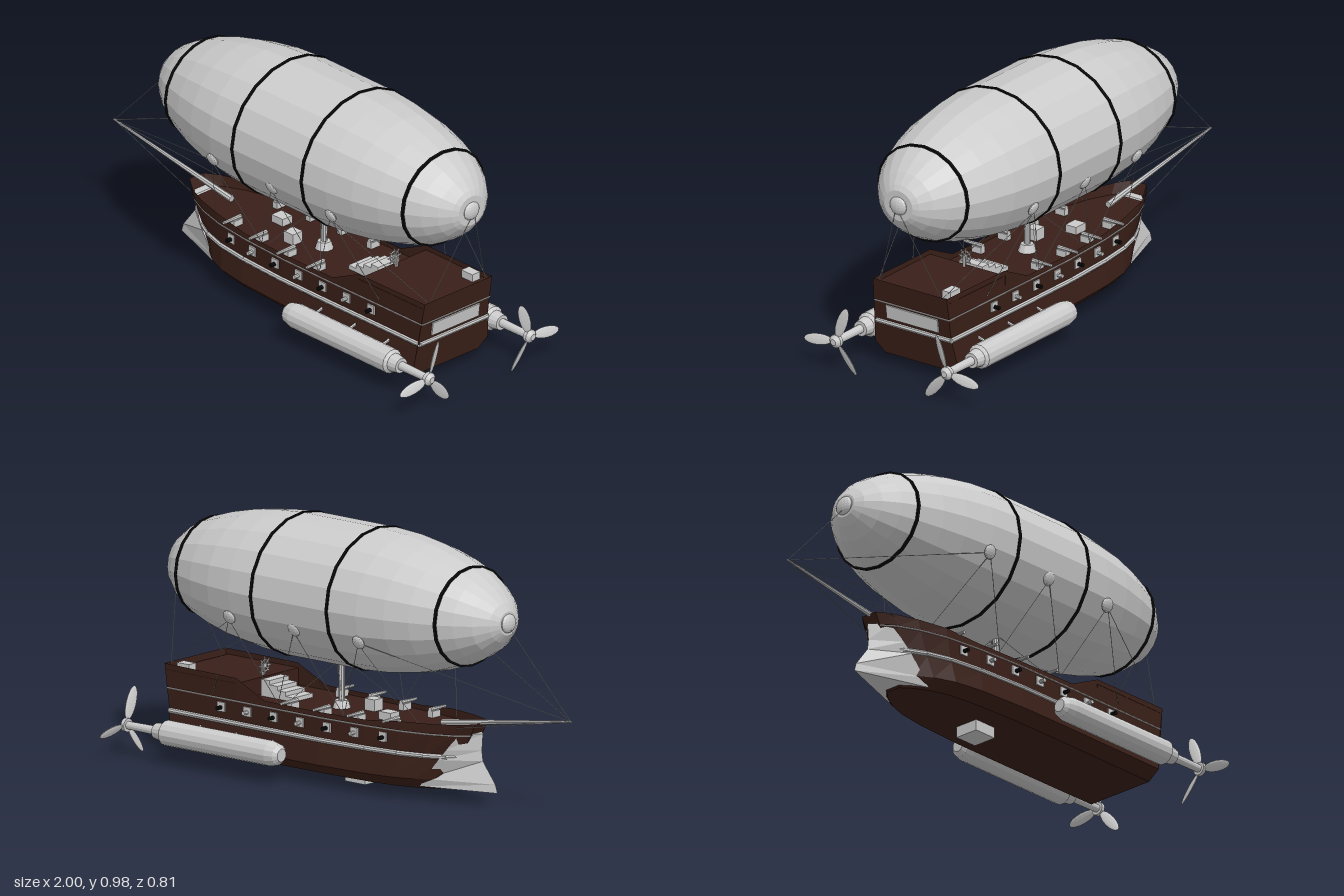
import * as THREE from 'three';

const mat = (color, extra = {}) => new THREE.MeshStandardMaterial({ color, flatShading: true, ...extra });
const grey = mat(0xcccccc);
const greyThin = mat(0xcccccc, { side: THREE.DoubleSide });
const wood = mat(0x3a1f18, { side: THREE.DoubleSide });
const black = mat(0x0a0a0a);
const V = (x, y, z) => new THREE.Vector3(x, y, z);

function add(parent, name, geo, material, pos = [0, 0, 0], rot = [0, 0, 0]) {
  const m = new THREE.Mesh(geo, material);
  m.name = name;
  m.position.set(...pos);
  m.rotation.set(...rot);
  parent.add(m);
  return m;
}
const box = (p, name, size, pos, material = grey, rot) =>
  add(p, name, new THREE.BoxGeometry(...size), material, pos, rot);

// Cylinder between two points
function rod(p, name, a, b, r0, r1 = r0, sides = 6, material = grey) {
  const d = b.clone().sub(a);
  const m = add(p, name, new THREE.CylinderGeometry(r1, r0, d.length(), sides), material);
  m.position.copy(a).add(b).multiplyScalar(0.5);
  m.quaternion.setFromUnitVectors(V(0, 1, 0), d.normalize());
}

// Lathe whose axis lies along x; profile is [x, radius]
const latheX = (profile, sides) =>
  new THREE.LatheGeometry(profile.map(([x, r]) => new THREE.Vector2(r, x)), sides).rotateZ(-Math.PI / 2);

// Skin over a list of cross-sections, with optional fan caps
function loft(rings, closed, caps) {
  const pos = [], idx = [], n = rings[0].length;
  rings.forEach(r => r.forEach(p => pos.push(p.x, p.y, p.z)));
  for (let i = 0; i < rings.length - 1; i++)
    for (let j = 0; j < (closed ? n : n - 1); j++) {
      const a = i * n + j, b = i * n + (j + 1) % n;
      idx.push(a, b, a + n, b, b + n, a + n);
    }
  if (caps) for (const i of [0, rings.length - 1])
    for (let j = 1; j < n - 1; j++) idx.push(i * n, i * n + j, i * n + j + 1);
  const g = new THREE.BufferGeometry();
  g.setAttribute('position', new THREE.Float32BufferAttribute(pos, 3));
  g.setIndex(idx);
  g.computeVertexNormals();
  return g;
}

// Hull stations: x at keel, rake, half width, sheer height
const stations = [
  [-0.42, -0.15, 0.035, 0.315], [-0.38, -0.14, 0.075, 0.312], [-0.32, -0.1, 0.115, 0.308],
  [-0.24, -0.05, 0.145, 0.305], [-0.12, 0, 0.163, 0.29], [0.1, 0, 0.175, 0.288],
  [0.37, 0, 0.176, 0.29], [0.5, 0.01, 0.175, 0.355], [0.82, 0.045, 0.173, 0.358],
];
// Half of a cross-section, from bilge to sheer
function halfSection([x, rake, w, top]) {
  return [[0.85, 0.05], [1.1, 0.09], [1.02, 0.17], [1, 0.182], [1, 0.267], [0.99, top]]
    .map(([k, y]) => V(x + rake * (y - 0.05) / 0.3, y, w * k));
}
const mirror = p => V(p.x, p.y, -p.z);
const sections = stations.map(halfSection);
function halfAt(x) {
  const i = Math.max(1, stations.findIndex(s => s[0] >= x));
  const [a, b] = [stations[i - 1], stations[i]];
  return a[2] + (b[2] - a[2]) * (x - a[0]) / (b[0] - a[0]);
}

function buildEnvelope(g) {
  const env = new THREE.Group();
  env.name = 'envelope';
  env.position.y = 0.715;
  env.scale.z = 1.1;
  g.add(env);
  const prof = [[-0.685, 0], [-0.685, 0.045], [-0.665, 0.075], [-0.62, 0.12], [-0.56, 0.158], [-0.5, 0.187],
    [-0.4, 0.22], [-0.3, 0.244], [-0.18, 0.262], [-0.045, 0.27], [0.14, 0.27], [0.33, 0.27], [0.45, 0.262],
    [0.57, 0.246], [0.68, 0.22], [0.78, 0.187], [0.84, 0.155], [0.89, 0.118], [0.925, 0.08], [0.937, 0.06], [0.937, 0]];
  add(env, 'gasBag', latheX(prof, 20), grey);
  for (const [x, r] of [[-0.5, 0.187], [-0.045, 0.27], [0.33, 0.27], [0.78, 0.187]])
    add(env, 'band', latheX([[x - 0.006, r - 0.01], [x - 0.006, r + 0.004], [x + 0.006, r + 0.004], [x + 0.006, r - 0.01]], 20), black);
  for (const x of [-0.685, 0.935])
    add(env, 'endCap', new THREE.SphereGeometry(0.036, 14, 10).scale(0.5, 1, 1), grey, [x, 0, 0]);
}

function buildHull(g) {
  add(g, 'hull', loft(sections.map(s => [...s.slice().reverse(), ...s.map(mirror)]), false, true), wood);
  // Main deck stepping up to the raised stern deck
  const deck = [];
  for (const [i, s] of stations.entries()) {
    const y = i < 7 ? 0.27 : 0.335, x = s[0] + s[1] * 0.75;
    if (i === 7) deck.push([V(x, 0.27, s[2]), V(x, 0.27, -s[2])]);
    deck.push([V(x, y, s[2]), V(x, y, -s[2])]);
  }
  add(g, 'deck', loft(deck, false, false), wood);
  // Rubbing strakes along both sides and across the stern
  for (const [j, r] of [[3, 0.01], [4, 0.003]]) {
    for (let i = 1; i < sections.length; i++) {
      const a = sections[i - 1][j], b = sections[i][j];
      rod(g, 'strake', a, b, r, r, 8);
      rod(g, 'strake', mirror(a), mirror(b), r, r, 8);
    }
    const e = sections.at(-1)[j];
    rod(g, 'sternStrake', e, mirror(e), r, r, 8);
  }
  box(g, 'sternWindow', [0.012, 0.055, 0.24], [0.847, 0.232, 0], grey, [0, 0, -0.14]);
  box(g, 'keelBox', [0.1, 0.06, 0.1], [0.03, 0.037, 0]);
  // Wedge-shaped ram wrapped round the bow
  const ram = [[0.275, -0.56, -0.5, 0.06], [0.21, -0.555, -0.45, 0.085], [0.17, -0.56, -0.42, 0.095],
    [0.09, -0.622, -0.36, 0.1], [0.058, -0.632, -0.335, 0.1]]
    .map(([y, f, b, w]) => [V(f, y, 0), V(b, y, w), V(b, y, -w)]);
  add(g, 'bowRam', loft(ram, true, true), greyThin);
  rod(g, 'bowsprit', V(-0.36, 0.288, 0), V(-0.998, 0.387, 0), 0.013, 0.004, 8);
}

function buildDeckFittings(g) {
  rod(g, 'mast', V(0.14, 0.27, 0), V(0.14, 0.46, 0), 0.012, 0.012, 10);
  rod(g, 'mastCollar', V(0.14, 0.27, 0), V(0.14, 0.3, 0), 0.035, 0.025, 10);
  box(g, 'deckCrate', [0.05, 0.045, 0.05], [0.025, 0.292, 0.05]);
  box(g, 'deckCrate', [0.06, 0.03, 0.05], [-0.12, 0.285, -0.03]);
  box(g, 'sternCrate', [0.06, 0.03, 0.04], [0.79, 0.35, -0.135]);
  for (let i = 0; i < 4; i++)
    box(g, 'step', [0.04, 0.016 * (i + 1), 0.11], [0.35 + i * 0.04, 0.27 + 0.008 * (i + 1), 0]);
  // Steering wheel
  rod(g, 'wheelPost', V(0.53, 0.335, 0), V(0.53, 0.375, 0), 0.006);
  add(g, 'wheelRim', new THREE.TorusGeometry(0.022, 0.003, 5, 14), grey, [0.52, 0.372, 0], [0, Math.PI / 2, 0]);
  for (let i = 0; i < 4; i++)
    box(g, 'wheelSpoke', [0.004, 0.066, 0.004], [0.52, 0.372, 0], grey, [i * Math.PI / 4, 0, 0]);
}

// Everything that appears on both sides
function buildSide() {
  const s = new THREE.Group();
  s.name = 'side';
  // Gun ports with short barrels
  for (let i = 0; i < 7; i++) {
    const x = -0.2 + i * 0.13, w = halfAt(x);
    box(s, 'gunPort', [0.036, 0.036, 0.012], [x, 0.236, w]);
    rod(s, 'portBarrel', V(x, 0.234, w), V(x, 0.234, w + 0.028), 0.008, 0.008, 8, i % 2 ? grey : black);
  }
  // Cannons on deck
  for (const x of [-0.22, -0.06, 0.1, 0.26]) {
    const w = halfAt(x);
    rod(s, 'cannon', V(x, 0.3, w - 0.06), V(x, 0.3, w + 0.028), 0.009, 0.006, 8);
    box(s, 'cannonCarriage', [0.025, 0.025, 0.045], [x, 0.283, w - 0.038]);
  }
  // Engine pod with struts and propeller
  const pod = new THREE.Group();
  pod.name = 'engine';
  pod.position.set(0, 0.12, 0.258);
  s.add(pod);
  add(pod, 'nacelle', latheX([[0.21, 0], [0.21, 0.025], [0.225, 0.04], [0.26, 0.048], [0.78, 0.048], [0.79, 0.036],
    [0.83, 0.03], [0.83, 0.017], [0.97, 0.015], [0.97, 0.026], [0.985, 0.026], [0.998, 0.012], [0.998, 0]], 14), grey);
  for (const deg of [98, -19, 220]) {
    const arm = new THREE.Group();
    arm.name = 'propellerBlade';
    arm.rotation.x = THREE.MathUtils.degToRad(deg);
    pod.add(arm);
    add(arm, 'blade', new THREE.SphereGeometry(1, 10, 8).scale(0.005, 0.066, 0.022), grey, [0.98, 0.084, 0], [0, 0.4, 0]);
  }
  for (const x of [0.32, 0.5, 0.68])
    rod(s, 'engineStrut', V(x, 0.15, 0.165), V(x, 0.13, 0.24), 0.006);
  // Rope anchors on the envelope and the rigging
  const rope = (a, b) => rod(s, 'rope', V(...a), V(...b), 0.0013, 0.0013, 4);
  for (const x of [-0.18, 0.14, 0.46]) {
    add(s, 'ropeAnchor', new THREE.SphereGeometry(0.028, 12, 8).scale(1, 1, 0.4), grey, [x, 0.612, 0.27], [0.4, 0, 0]);
    for (const dx of [-0.16, 0.16])
      rope([x, 0.605, 0.272], [x + dx, 0.29, halfAt(x + dx)]);
  }
  rope([-0.995, 0.386, 0], [-0.18, 0.61, 0.27]);
  rope([-0.995, 0.386, 0], [-0.5, 0.3, 0.08]);
  rope([0.46, 0.6, 0.272], [0.86, 0.355, 0.15]);
  rope([0.945, 0.69, 0.01], [0.86, 0.355, 0.14]);
  rope([0.14, 0.45, 0.02], [0.0, 0.29, 0.15]);
  rope([0.14, 0.45, 0.02], [0.28, 0.29, 0.15]);
  return s;
}

export function createModel() {
  const g = new THREE.Group();
  g.name = 'airship';
  buildEnvelope(g);
  buildHull(g);
  buildDeckFittings(g);
  const left = buildSide(), right = buildSide();
  right.scale.z = -1;
  g.add(left, right);
  rod(g, 'bowRope', V(-0.995, 0.386, 0), V(-0.69, 0.7, 0), 0.0013, 0.0013, 4);
  return g;
}
